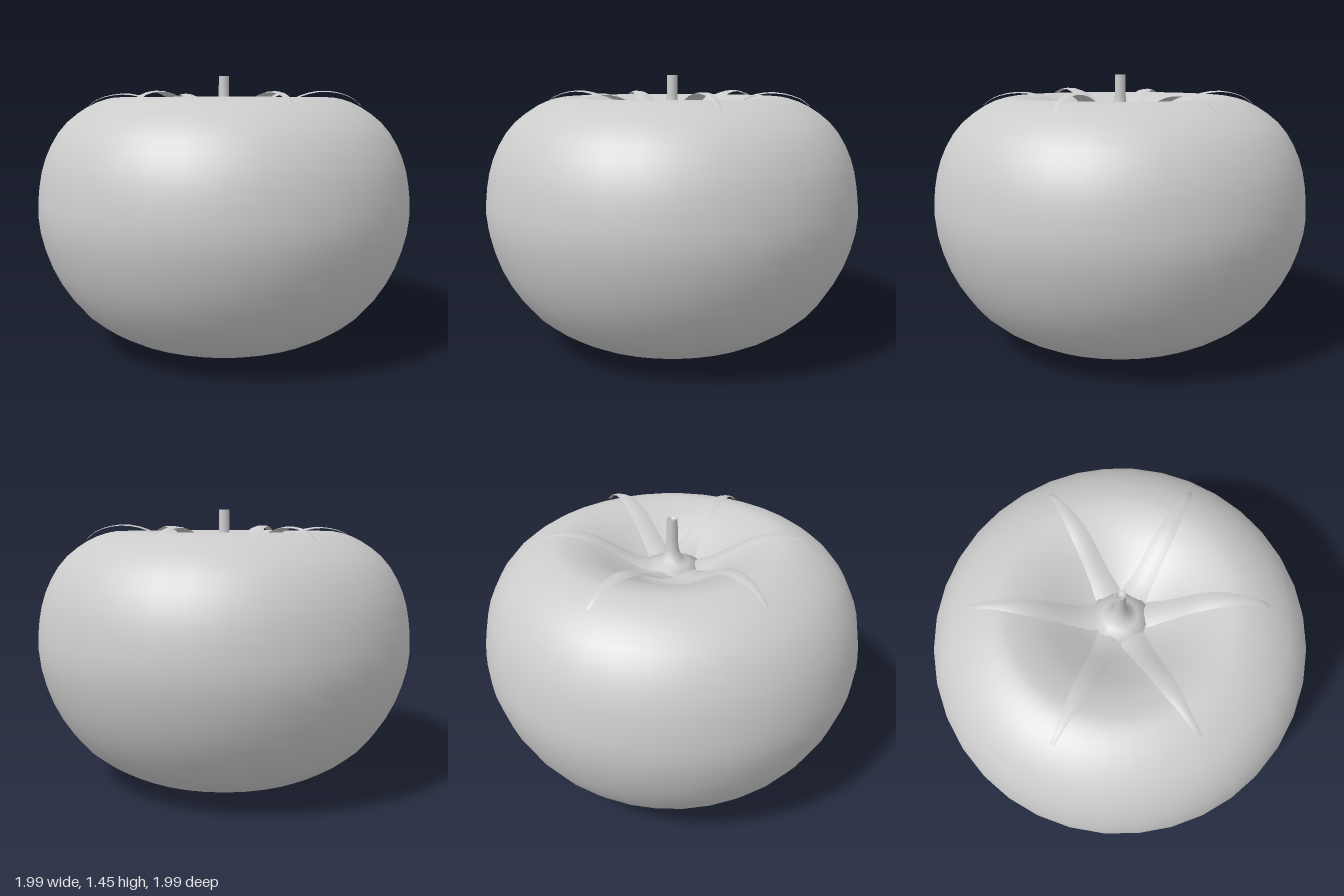
import * as THREE from 'three';

const material = new THREE.MeshStandardMaterial({ color: 0xcccccc });
const leafMaterial = new THREE.MeshStandardMaterial({ color: 0xcccccc, side: THREE.DoubleSide });
const toPoints = (list) => list.map(([x, y]) => new THREE.Vector2(x, y));

// One sepal: a narrow strip arching along a spine, swept sideways near its tip.
// spine rows: distance from the axis, height, half width
const SPINE = [
  [0.05, 1.195, 0.05], [0.12, 1.205, 0.068], [0.2, 1.228, 0.058], [0.3, 1.282, 0.05],
  [0.4, 1.333, 0.047], [0.5, 1.357, 0.038], [0.6, 1.352, 0.024], [0.68, 1.328, 0.016], [0.73, 1.295, 0.011],
];

function leafGeometry(length, lift, bend) {
  const curve = new THREE.CatmullRomCurve3(SPINE.map((p) => new THREE.Vector3(...p)));
  const rows = 16, cols = 4, pos = [], index = [];
  for (let i = 0; i <= rows; i++) {
    const t = i / rows;
    const p = curve.getPoint(t);
    const r = 0.05 + (p.x - 0.05) * (length - 0.05) / 0.68;
    const y = p.y + lift * Math.sin(Math.PI * t) * t;
    const side = bend * Math.sin(Math.PI * t);
    for (let j = 0; j <= cols; j++) {
      const s = (j / cols) * 2 - 1;
      pos.push(r, y - 0.18 * p.z * s * s, side + s * p.z);
    }
  }
  for (let i = 0; i < rows; i++) {
    for (let j = 0; j < cols; j++) {
      const a = i * (cols + 1) + j, b = a + cols + 1;
      index.push(a, a + 1, b, b, a + 1, b + 1);
    }
  }
  const geometry = new THREE.BufferGeometry();
  geometry.setAttribute('position', new THREE.Float32BufferAttribute(pos, 3));
  geometry.setIndex(index);
  geometry.computeVertexNormals();
  return geometry;
}

export function createModel() {
  const model = new THREE.Group();
  model.name = 'tomato';

  // Fruit: flattened globe with a deep top hollow and a shallow one below
  const profile = new THREE.SplineCurve(toPoints([
    [0, 0.05], [0.14, 0.03], [0.3, 0.005], [0.45, 0.035], [0.62, 0.105], [0.79, 0.235], [0.92, 0.435],
    [0.99, 0.66], [0.99, 0.84], [0.95, 1.02], [0.86, 1.18], [0.73, 1.285], [0.61, 1.332], [0.52, 1.332],
    [0.4, 1.293], [0.28, 1.222], [0.16, 1.15], [0.07, 1.12], [0, 1.115],
  ]));
  const outline = profile.getPoints(44);
  outline[0].x = outline[44].x = 0;
  const fruit = new THREE.Mesh(new THREE.LatheGeometry(outline, 36), material);
  fruit.name = 'fruit';
  model.add(fruit);

  // Stem with a flared foot and a slightly hollow cut end
  const stem = new THREE.Mesh(new THREE.LatheGeometry(toPoints([
    [0, 1.17], [0.1, 1.185], [0.14, 1.2], [0.085, 1.213], [0.052, 1.24], [0.035, 1.285], [0.029, 1.34],
    [0.028, 1.45], [0.028, 1.451], [0.018, 1.451], [0.014, 1.435], [0, 1.435],
  ]), 12), material);
  stem.name = 'stem';
  model.add(stem);

  // Six sepals: tip x, tip z, extra lift, sideways bend
  const calyx = new THREE.Group();
  calyx.name = 'calyx';
  [
    [0.73, -0.07, 0.025, 0.012], [0.31, -0.66, 0.01, 0.015], [-0.41, -0.6, 0.01, -0.02],
    [-0.72, 0.13, 0, -0.015], [-0.31, 0.66, 0.015, 0.015], [0.42, 0.59, 0.01, -0.015],
  ].forEach(([x, z, lift, bend], i) => {
    const leaf = new THREE.Mesh(leafGeometry(Math.hypot(x, z), lift, bend), leafMaterial);
    leaf.name = `sepal${i + 1}`;
    leaf.rotation.y = -Math.atan2(z, x);
    calyx.add(leaf);
  });
  model.add(calyx);
  return model;
}
